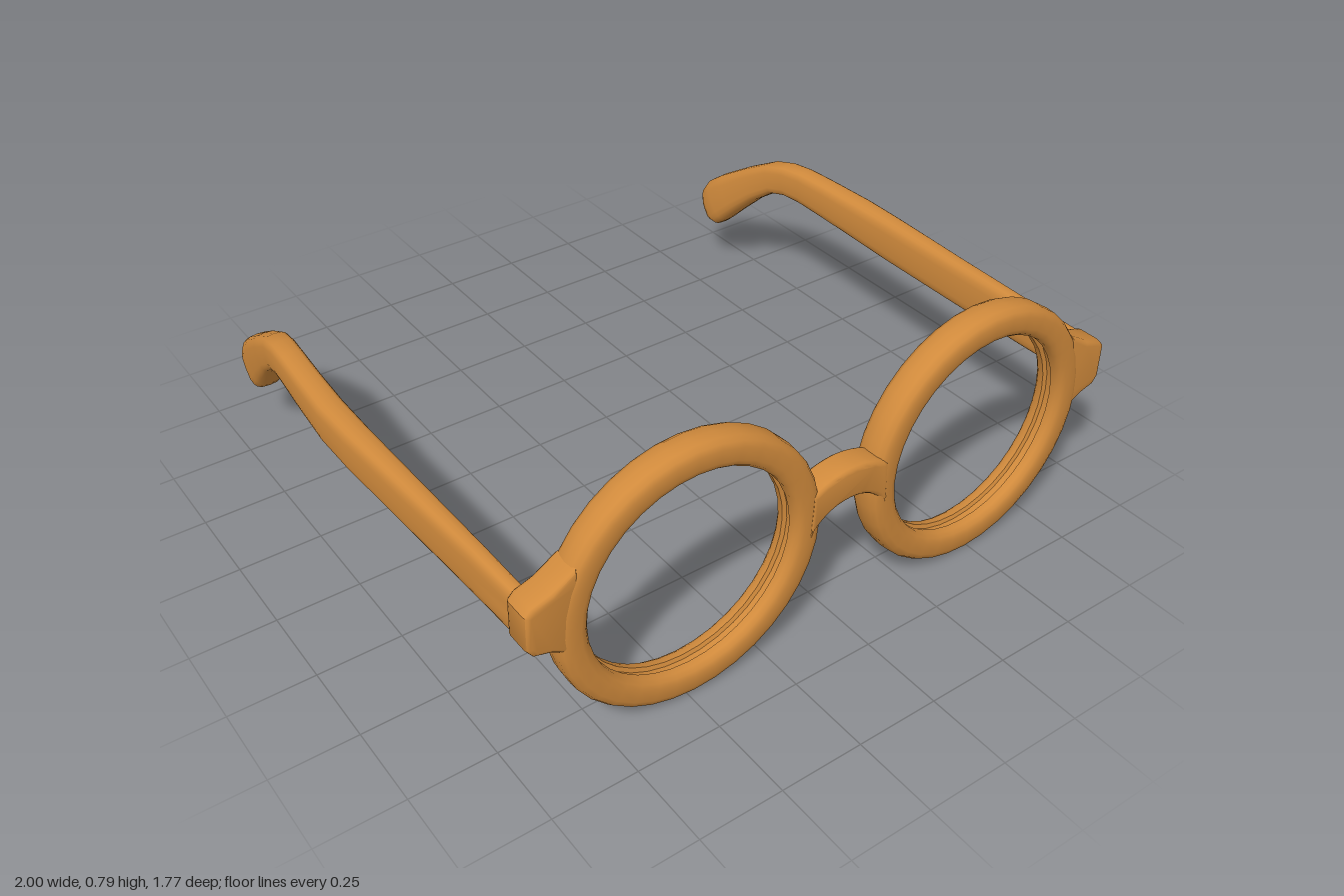
import * as THREE from 'three';
import { toCreasedNormals } from 'three/addons/utils/BufferGeometryUtils.js';

const wood = new THREE.MeshStandardMaterial({ color: 0xd08a3c });
wood.name = 'honey frame';

function part(name, geometry) {
  const mesh = new THREE.Mesh(geometry, wood);
  mesh.name = name;
  return mesh;
}

// Round rim: rounded profile with a shallow lens groove, turned about z
function rimGeometry() {
  const profile = [
    [0.397, 0], [0.395, 0.028], [0.386, 0.043], [0.370, 0.049],
    [0.335, 0.049], [0.320, 0.044], [0.311, 0.033], [0.310, 0.014],
    [0.321, 0.009], [0.321, -0.009], [0.310, -0.014], [0.311, -0.033],
    [0.320, -0.044], [0.335, -0.049], [0.370, -0.049], [0.386, -0.043],
    [0.395, -0.028], [0.397, 0],
  ].map(([r, h]) => new THREE.Vector2(r, h));
  const g = new THREE.LatheGeometry(profile, 36);
  g.rotateX(Math.PI / 2);
  return toCreasedNormals(g, 0.7);
}

// Flat outline with softly bevelled edges; the outline is the full size
function plateGeometry(shape, depth, z) {
  const bevel = 0.015;
  const g = new THREE.ExtrudeGeometry(shape, {
    depth: depth - 2 * bevel, bevelEnabled: true, bevelThickness: bevel,
    bevelSize: bevel, bevelOffset: -bevel, bevelSegments: 3, curveSegments: 8,
  });
  g.translate(0, 0, z - depth / 2 + bevel);
  return toCreasedNormals(g, 0.7);
}

function bridgeGeometry() {
  const s = new THREE.Shape();
  s.moveTo(-0.13, 0.485);
  s.quadraticCurveTo(-0.07, 0.52, 0, 0.522);
  s.quadraticCurveTo(0.07, 0.52, 0.13, 0.485);
  s.lineTo(0.13, 0.345);
  s.quadraticCurveTo(0.08, 0.42, 0, 0.42);
  s.quadraticCurveTo(-0.08, 0.42, -0.13, 0.345);
  s.closePath();
  return plateGeometry(s, 0.084, 0.843);
}

function endPieceGeometry(side) {
  const pts = [
    [0.81, 0.38], [0.84, 0.34], [0.90, 0.372], [0.945, 0.385], [0.963, 0.41],
    [0.963, 0.515], [0.945, 0.535], [0.89, 0.553], [0.82, 0.595], [0.81, 0.55],
  ];
  if (side < 0) pts.reverse();
  const s = new THREE.Shape(pts.map(([x, y]) => new THREE.Vector2(side * x, y)));
  return plateGeometry(s, 0.092, 0.82);
}

// Temple arm: rounded sections joined from hinge to ear tip.
// Each row: top edge z, y; bottom edge z, y; inner x, outer x
const armSections = [
  [0.82, 0.530, 0.82, 0.392, 0.904, 0.955],
  [0.60, 0.530, 0.60, 0.388, 0.905, 0.962],
  [0.30, 0.528, 0.30, 0.386, 0.908, 0.978],
  [0.00, 0.528, 0.00, 0.386, 0.912, 0.994],
  [-0.15, 0.528, -0.15, 0.392, 0.912, 0.998],
  [-0.30, 0.529, -0.30, 0.402, 0.907, 0.990],
  [-0.42, 0.529, -0.42, 0.411, 0.900, 0.982],
  [-0.50, 0.521, -0.49, 0.411, 0.892, 0.976],
  [-0.58, 0.498, -0.55, 0.396, 0.882, 0.970],
  [-0.69, 0.438, -0.63, 0.338, 0.866, 0.962],
  [-0.80, 0.370, -0.715, 0.256, 0.848, 0.952],
  [-0.855, 0.329, -0.765, 0.205, 0.839, 0.945],
  [-0.880, 0.290, -0.795, 0.177, 0.838, 0.942],
  [-0.883, 0.258, -0.828, 0.174, 0.846, 0.934],
  [-0.872, 0.222, -0.850, 0.186, 0.870, 0.912],
];

function armGeometry(side) {
  const n = 20, pos = [], index = [];
  const soft = (v) => Math.sign(v) * Math.pow(Math.abs(v), 0.6);
  const tri = (a, b, c) => (side > 0 ? index.push(a, b, c) : index.push(a, c, b));
  armSections.forEach(([zt, yt, zb, yb, xi, xo], i) => {
    for (let j = 0; j < n; j++) {
      const t = (j / n) * Math.PI * 2;
      const u = soft(Math.cos(t)), v = soft(Math.sin(t));
      pos.push(side * ((xi + xo) / 2 + (u * (xo - xi)) / 2),
        (yt + yb) / 2 + (v * (yt - yb)) / 2,
        (zt + zb) / 2 + (v * (zt - zb)) / 2);
      if (i === armSections.length - 1) continue;
      const a = i * n + j, b = i * n + ((j + 1) % n);
      tri(a, a + n, b);
      tri(b, a + n, b + n);
    }
  });
  // End caps
  const last = (armSections.length - 1) * n;
  for (let j = 1; j < n - 1; j++) {
    tri(0, j, j + 1);
    tri(last, last + j + 1, last + j);
  }
  const g = new THREE.BufferGeometry();
  g.setAttribute('position', new THREE.Float32BufferAttribute(pos, 3));
  g.setIndex(index);
  g.computeVertexNormals();
  return g;
}

export function createModel() {
  const model = new THREE.Group();
  model.name = 'roundGlasses';
  model.add(part('bridge', bridgeGeometry()));
  for (const [label, side] of [['left', 1], ['right', -1]]) {
    // Rims lean back slightly toward the temples
    const rim = part(label + 'Rim', rimGeometry());
    rim.position.set(side * 0.482, 0.397, 0.827);
    rim.rotation.y = side * 0.018;
    model.add(rim);
    model.add(part(label + 'EndPiece', endPieceGeometry(side)));
    model.add(part(label + 'Temple', armGeometry(side)));
  }
  return model;
}
